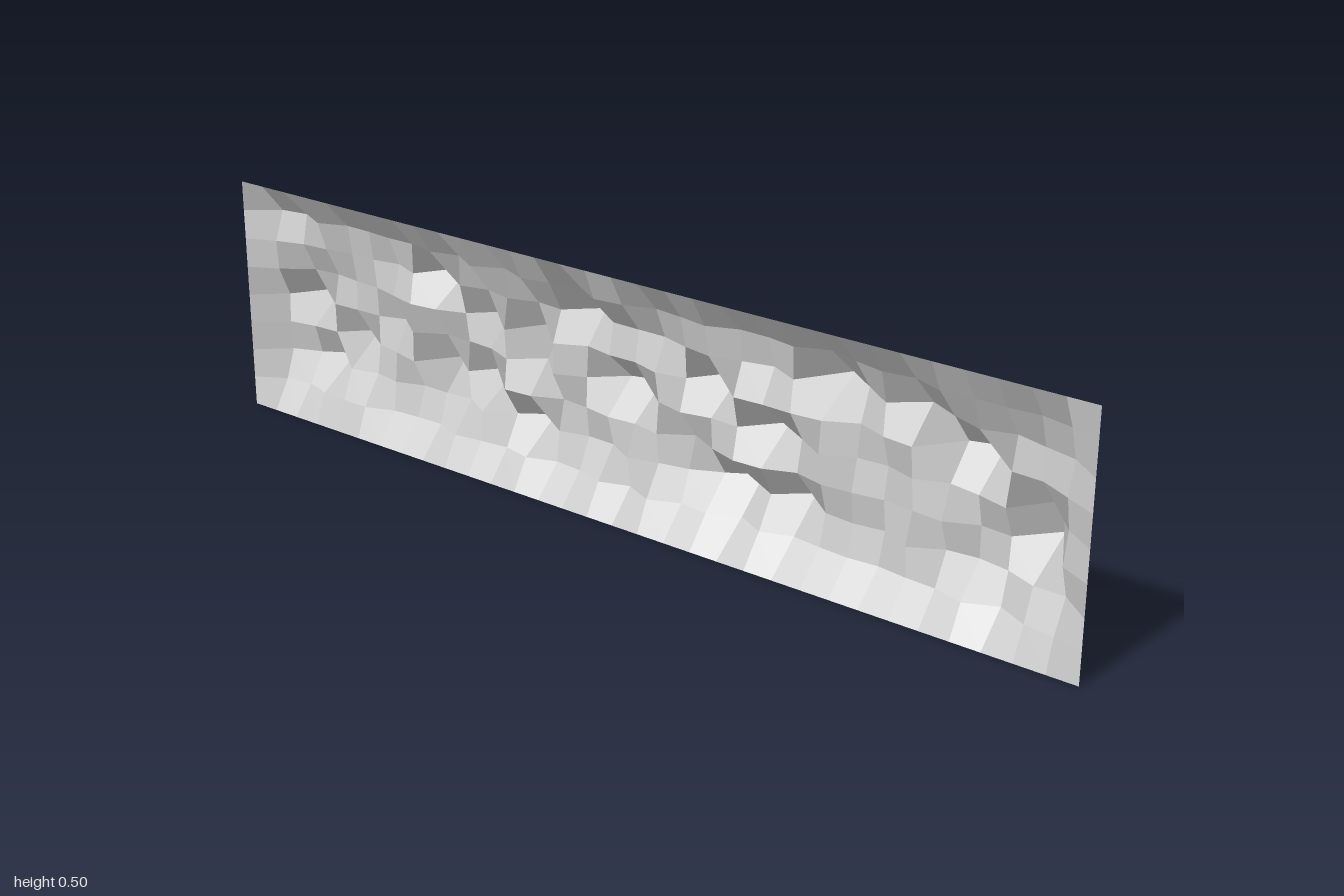
import * as THREE from 'three';

const CELL = 1 / 16, ROWS = 8, HALF = 16, BASE = -0.079;

// main crags and end slopes: [z cell, y cell, x reach]
const PEAKS = [
  [15, 1, -0.06], [15, 2, -0.027], [15, 3, -0.047], [15, 4, -0.035],
  [15, 5, -0.047], [15, 6, -0.03], [15, 7, -0.05],
  [14, 3, 0.079], [14, 4, 0.068], [14, 5, -0.015], [14, 6, -0.015],
  [12, 5, 0.079], [11, 5, 0.06], [10, 6, 0.04], [12, 2, 0.01],
  [8, 6, 0.03], [7, 6, 0.079], [7, 7, 0], [6, 2, 0.06], [6, 1, -0.01], [5, 4, 0.06],
  [4, 2, 0.068], [4, 1, 0], [3, 5, 0.079], [3, 2, 0.03], [2, 3, 0.02],
  [0, 4, 0.079], [-1, 4, 0.06], [-2, 6, 0.06], [-4, 5, 0.079], [-4, 4, 0.03],
  [-4, 2, 0.05], [-6, 5, 0.06], [-6, 3, 0.079], [-8, 6, 0.079],
  [-8, 3, 0.06], [-10, 4, 0.02], [-12, 3, 0.06], [-13, 2, 0.045],
  [-14, 4, 0.079], [-14, 5, 0], [-14, 6, -0.03], [-15, 4, -0.02], [-15, 6, -0.05],
];

// repeatable noise from 0 to 1 at a grid point
function noise(i, j) {
  const s = Math.sin(i * 127.1 + j * 311.7) * 43758.5453;
  return s - Math.floor(s);
}

// how far the rock reaches along x at a grid point
function reach(i, j) {
  const edge = Math.min(j, ROWS - j, HALF - Math.abs(i));
  if (edge === 0) return BASE;
  const peak = PEAKS.find((p) => p[0] === i && p[1] === j);
  if (peak) return peak[2];
  return edge === 1 ? -0.055 + 0.04 * noise(i, j) : -0.035 + 0.045 * noise(i, j);
}

// faceted sheet, with one normal for each four-sided cell
function rockGeometry() {
  const geo = new THREE.PlaneGeometry(2, 0.5, HALF * 2, ROWS)
    .rotateY(Math.PI / 2)
    .translate(0, 0.25, 0)
    .toNonIndexed();
  const pos = geo.attributes.position;
  for (let k = 0; k < pos.count; k++) {
    pos.setX(k, reach(Math.round(pos.getZ(k) / CELL), Math.round(pos.getY(k) / CELL)));
  }
  geo.computeVertexNormals();
  const nor = geo.attributes.normal;
  const a = new THREE.Vector3(), b = new THREE.Vector3();
  for (let k = 0; k < pos.count; k += 6) {
    a.fromBufferAttribute(nor, k).add(b.fromBufferAttribute(nor, k + 3)).normalize();
    for (let n = 0; n < 6; n++) nor.setXYZ(k + n, a.x, a.y, a.z);
  }
  return geo;
}

export function createModel() {
  const group = new THREE.Group();
  group.name = 'rockWall';
  const material = new THREE.MeshStandardMaterial({ color: 0xcccccc, side: THREE.DoubleSide });
  const rock = new THREE.Mesh(rockGeometry(), material);
  rock.name = 'rockFace';
  group.add(rock);
  return group;
}
